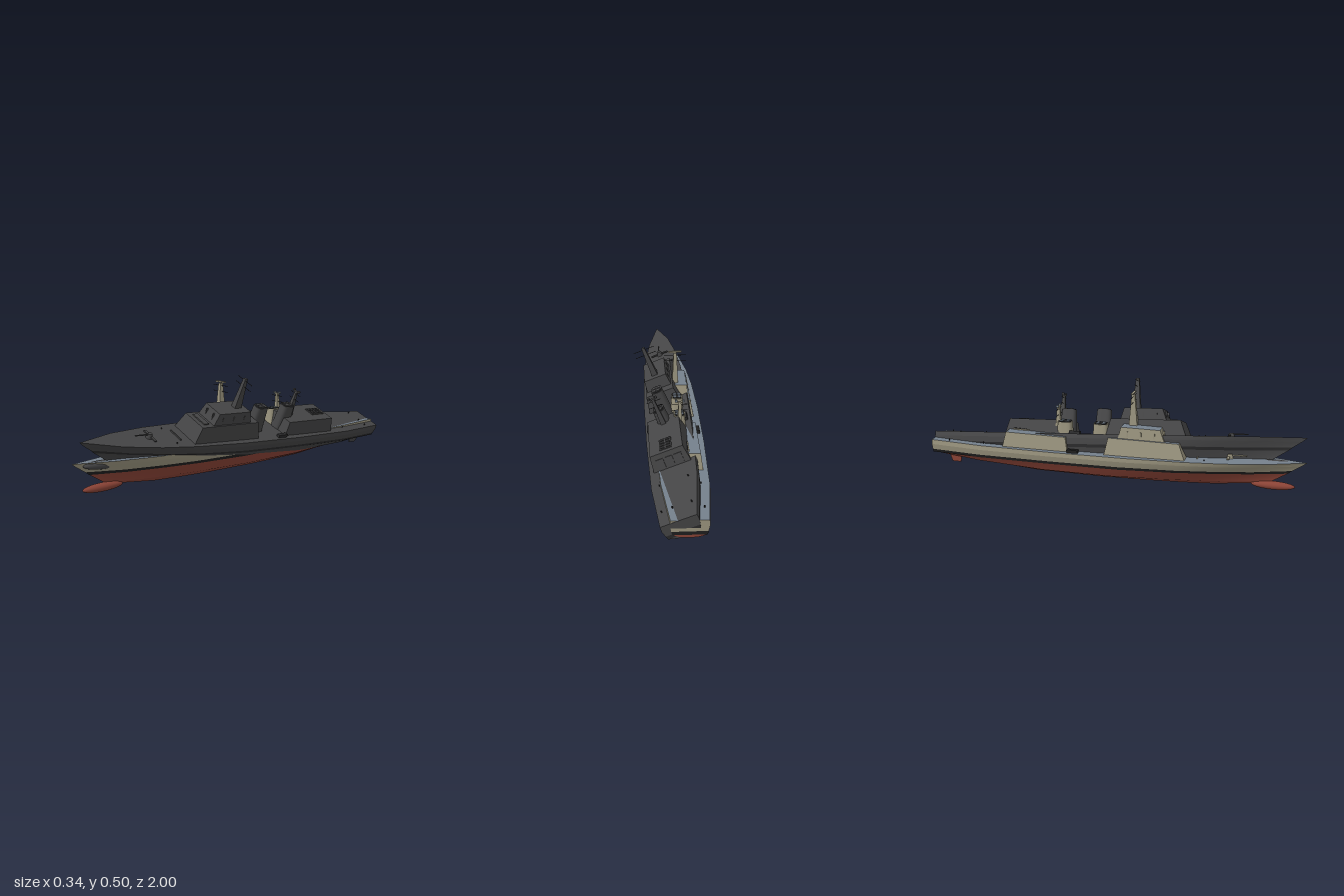
import * as THREE from 'three';

const mat = (name, color) => {
  const m = new THREE.MeshStandardMaterial({ color });
  m.name = name;
  return m;
};

// Hull lines from stern (t = 0) to bow (t = 1); levels run from deck edge down to keel
const T = [0, 0.15, 0.35, 0.55, 0.7, 0.8, 0.9, 1];
const LEVELS = [
  { bow: 1, w: [.084, .112, .122, .122, .112, .095, .062, 0], y: [.13, .132, .136, .142, .148, .153, .159, .165] },
  { bow: .975, w: [.086, .114, .124, .123, .109, .089, .053, 0], y: [.105, .108, .113, .12, .126, .131, .138, .145] },
  { bow: .93, w: [.08, .107, .116, .114, .097, .073, .04, 0], y: [.075, .078, .083, .088, .093, .098, .104, .116] },
  { bow: .91, w: [.075, .102, .112, .109, .09, .065, .034, 0], y: [.058, .062, .068, .072, .078, .083, .089, .1] },
  { bow: .83, w: [.05, .078, .087, .082, .058, .036, .016, 0], y: [.05, .035, .022, .022, .025, .028, .035, .05] },
  { bow: .72, w: [.03, .035, .04, .04, .025, .014, .005, 0], y: [.045, .022, 0, 0, 0, .003, .01, .03] },
];
const hullPoint = (l, i, s) => {
  const L = LEVELS[l];
  return [s * L.w[i], L.y[i], -1 + T[i] * (L.bow + 1)];
};

// Skin between two rows of points
function strip(a, b, flip) {
  const idx = [];
  for (let i = 0; i < a.length - 1; i++) {
    const p = i, q = i + 1, r = a.length + i, s = r + 1;
    idx.push(...(flip ? [p, q, r, q, s, r] : [p, r, q, q, r, s]));
  }
  const g = new THREE.BufferGeometry();
  g.setAttribute('position', new THREE.Float32BufferAttribute([...a, ...b].flat(), 3));
  g.setIndex(idx);
  g.computeVertexNormals();
  return g;
}

// Box with a separate top rectangle: [halfWidth, zBack, zFront] below and above
function taperedBox(y0, y1, low, top) {
  const g = new THREE.BoxGeometry(1, 1, 1);
  const p = g.attributes.position;
  for (let i = 0; i < p.count; i++) {
    const [w, zb, zf] = p.getY(i) > 0 ? top : low;
    p.setXYZ(i, Math.sign(p.getX(i)) * w, p.getY(i) > 0 ? y1 : y0, p.getZ(i) > 0 ? zf : zb);
  }
  g.computeVertexNormals();
  return g;
}

// Tapered column with a rounded-rectangle section
function roundedColumn(halfX, halfZ, height, flare) {
  const g = new THREE.CylinderGeometry(1, flare, height, 28);
  const p = g.attributes.position;
  for (let i = 0; i < p.count; i++) {
    const x = p.getX(i), z = p.getZ(i), r = Math.hypot(x, z) || 1;
    const k = ((x / r) ** 4 + (z / r) ** 4) ** -.25;
    if (x || z) p.setXYZ(i, x * k * halfX, p.getY(i), z * k * halfZ);
  }
  g.computeVertexNormals();
  return g;
}

function buildShip(name, c, hasRadar) {
  const ship = new THREE.Group();
  ship.name = name;
  const add = (part, geo, m, x = 0, y = 0, z = 0) => {
    const mesh = new THREE.Mesh(geo, m);
    mesh.name = part;
    mesh.position.set(x, y, z);
    ship.add(mesh);
    return mesh;
  };
  const box = (part, m, w, h, d, x, y, z) => add(part, new THREE.BoxGeometry(w, h, d), m, x, y, z);
  const house = (part, ...a) => add(part, taperedBox(...a), [c.paint, c.paint, c.deck, c.paint, c.paint, c.paint]);
  const row = (l, s) => T.map((_, i) => hullPoint(l, i, s));

  // Hull bands, deck, bottom and transom
  const bands = [['bulwark', c.paint], ['topside', c.paint], ['waterlineStripe', c.stripe], ['lowerHull', c.bottom], ['bilge', c.bottom]];
  bands.forEach(([part, m], l) => {
    for (const s of [-1, 1]) add(part, strip(row(l, s), row(l + 1, s), s > 0), m);
    add(part + 'Transom', strip([hullPoint(l, 0, -1), hullPoint(l, 0, 1)],
      [hullPoint(l + 1, 0, -1), hullPoint(l + 1, 0, 1)], true), m);
  });
  add('deck', strip(row(0, -1), row(0, 1), true), c.deck);
  add('keel', strip(row(5, -1), row(5, 1), false), c.bottom);

  // Bow dome, rudders, shafts and deck-edge rafts
  add('bowDome', new THREE.SphereGeometry(1, 20, 14).scale(.024, .021, .11), c.bottom, 0, .031, .84);
  for (const s of [-1, 1]) {
    add('rudder', taperedBox(.004, .055, [.003, -.9, -.85], [.004, -.915, -.84]), c.bottom, s * .046);
    const shaft = add('shaft', new THREE.CylinderGeometry(.004, .004, .2, 8).rotateX(Math.PI / 2), c.bottom, s * .035, .02, -.68);
    shaft.rotation.x = .06;
    box('raft', c.stripe, .02, .018, .06, s * .098, .145, -.185);
  }

  // Forward superstructure
  house('forwardHouse', .13, .228, [.094, -.02, .41], [.075, 0, .37]);
  house('bridge', .225, .287, [.067, .05, .295], [.06, .065, .27]);
  for (const s of [-1, 1]) {
    box('bridgeRib', c.paint, .006, .035, .01, s * .027, .258, .283);
    for (let i = 0; i < 3; i++) box('bridgeSideRib', c.paint, .005, .035, .008, s * .063, .25, .1 + i * .07);
  }
  box('bridgeStep', c.paint, .1, .01, .03, 0, .229, .33);

  // Main mast with yards
  add('mainMast', taperedBox(.28, .45, [.016, .095, .14], [.008, .108, .124]), c.paint);
  const yard = (len, y, z) => add('yard', new THREE.CylinderGeometry(.0015, .0015, len, 6).rotateZ(Math.PI / 2), c.stripe, 0, y, z);
  for (const y of [.407, .438]) yard(.115, y, .116);
  if (hasRadar) box('radarBar', c.paint, .067, .007, .012, 0, .457, .116);

  // Funnels with paired exhausts
  for (const [z, h] of [[-.058, .279], [-.255, .275]]) {
    add('funnel', roundedColumn(.028, .037, h - .13, 1.22), c.paint, 0, (h + .13) / 2, z);
    add('funnelCap', roundedColumn(.024, .033, .004, 1), c.stripe, 0, h + .001, z);
    for (const dz of [-.015, .015])
      for (const s of [-1, 1])
        add('exhaust', new THREE.CylinderGeometry(.009, .009, .005, 12), c.deck, s * .011, h + .003, z + dz);
  }

  // Aft superstructure, hangar doors and roof hatches
  house('aftHouse', .125, .212, [.094, -.582, -.215], [.082, -.562, -.23]);
  for (const x of [-.045, 0, .045]) {
    const door = box('hangarDoor', c.paint, .036, .05, .008, x, .163, -.574);
    door.rotation.x = .23;
  }
  box('hatchBase', c.paint, .06, .006, .09, 0, .214, -.495);
  for (let i = 0; i < 8; i++)
    box('hatch', c.stripe, .022, .003, .016, i % 2 ? .014 : -.014, .218, -.528 + Math.floor(i / 2) * .022);

  // Aft mast with side sensors
  add('aftMast', taperedBox(.2, .35, [.014, -.31, -.275], [.006, -.297, -.283]), c.paint);
  box('aftMastTop', c.paint, .03, .006, .014, 0, .352, -.29);
  for (const s of [-1, 1]) box('mastSensor', c.deck, .01, .01, .012, s * .018, .358, -.29);
  for (const y of [.308, .34]) yard(.075, y, -.29);

  // Foredeck gun
  add('gunTurret', new THREE.CylinderGeometry(.012, .019, .028, 12), c.paint, 0, .163, .62);
  add('gunBarrel', new THREE.CylinderGeometry(.003, .004, .08, 8).rotateX(Math.PI / 2), c.paint, 0, .172, .665);
  box('gunShield', c.paint, .1, .006, .012, 0, .163, .615);
  box('breakwater', c.paint, .09, .008, .006, 0, .152, .46);

  // Bollards along the deck edges
  for (const z of [-.9, -.7, .5])
    for (const s of [-1, 1])
      add('bollard', new THREE.CylinderGeometry(.003, .003, .01, 8), c.stripe, s * .07, z > 0 ? .152 : .135, z);
  return ship;
}

export function createModel() {
  const model = new THREE.Group();
  model.name = 'shipPair';

  // Painted upright ship
  const upright = buildShip('paintedShip', {
    paint: mat('tan', 0x9a947e), deck: mat('deckBlueGrey', 0x75808c),
    stripe: mat('black', 0x1e1e1e), bottom: mat('hullRed', 0x8a4336),
  }, true);
  upright.position.x = -.048;

  // Grey ship, heeled over with its bow raised
  const grey = mat('darkGrey', 0x454546);
  const heeled = buildShip('greyShip', {
    paint: grey, deck: grey, stripe: mat('charcoal', 0x2a2a2b), bottom: grey,
  }, false);
  heeled.position.set(-.046, .066, .003);
  heeled.rotation.set(-.056, 0, -.384);

  model.add(upright, heeled);
  return model;
}
